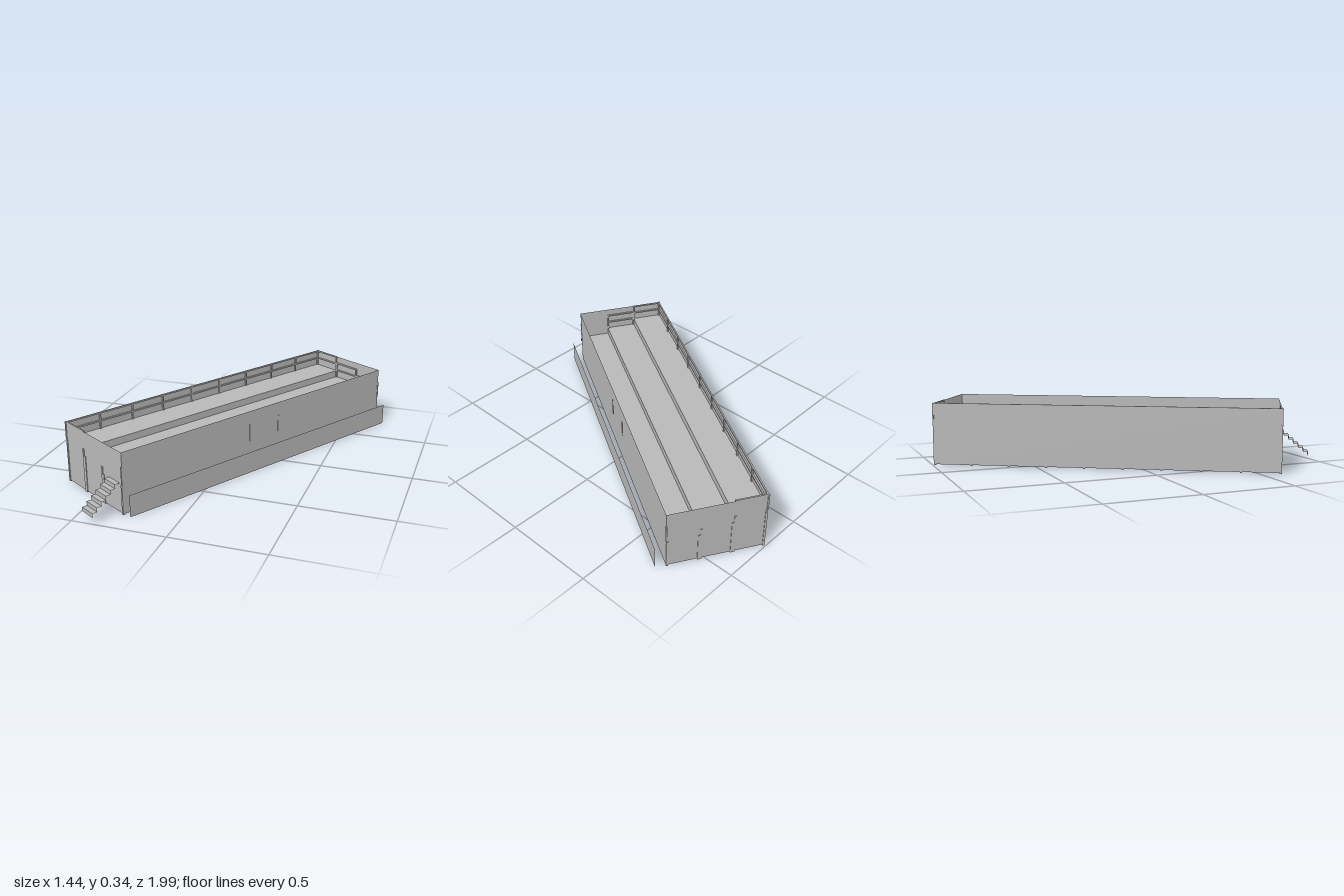
import * as THREE from 'three';

export function createModel() {
  const model = new THREE.Group();
  model.name = 'steppedPlatform';
  const grey = new THREE.MeshStandardMaterial({ color: 0xb8b8b8, side: THREE.DoubleSide });
  grey.name = 'plain grey';

  // Everything is built square, then the whole deck is turned in plan
  const deck = new THREE.Group();
  deck.name = 'deck';
  deck.position.set(-0.025, 0, -0.0625);
  deck.rotation.y = -0.537;
  model.add(deck);

  const W = 0.2545, L = 0.9285, TOP = 0.336;
  const strip = (2 * W) / 3, bays = 9, post = 0.011;

  // Box given by its min and max corners
  function block(name, x0, x1, y0, y1, z0, z1) {
    const mesh = new THREE.Mesh(new THREE.BoxGeometry(x1 - x0, y1 - y0, z1 - z0), grey);
    mesh.position.set((x0 + x1) / 2, (y0 + y1) / 2, (z0 + z1) / 2);
    mesh.name = name;
    deck.add(mesh);
  }

  // Flat upright sheet centred on x, z
  function sheet(name, width, y0, y1, x, z, turn) {
    const mesh = new THREE.Mesh(new THREE.PlaneGeometry(width, y1 - y0), grey);
    mesh.position.set(x, (y0 + y1) / 2, z);
    mesh.rotation.y = turn;
    mesh.name = name;
    deck.add(mesh);
  }

  // Enclosing walls and the skirt standing off one long side
  for (const s of [-1, 1]) {
    sheet('sideWall', 2 * L, 0.005, TOP, s * W, 0, (s * Math.PI) / 2);
    sheet('endWall', 2 * W, 0.005, TOP, 0, s * L, s > 0 ? 0 : Math.PI);
  }
  sheet('skirtPanel', 2 * L, 0.01, 0.128, W + 0.055, 0, Math.PI / 2);

  // Three floor levels, each on its own two rows of legs
  const levels = [0.245, 0.205, 0.165];
  levels.forEach((y, i) => {
    const x0 = -W + i * strip, x1 = x0 + strip;
    block('floor', x0, x1, y - 0.008, y, -L, L);
    if (i < 2) sheet('floorRiser', 2 * L, levels[i + 1], y, x1, 0, Math.PI / 2);
    for (let k = 0; k <= bays; k++) {
      const z = -L + (2 * L * k) / bays;
      const end = k === 0 ? -1 : k === bays ? 1 : 0;
      const zc = z - end * 0.002;
      for (const x of [x0, x1 - post])
        block('leg', x, x + post, 0, y - 0.004, zc - post / 2, zc + post / 2);
    }

    // Guard rails across both ends, open where the stairs arrive
    for (const s of [-1, 1]) {
      if (s > 0 && i === 2) continue;
      const z = s * (L - 0.005);
      for (const h of [0.045, 0.09])
        block('endRail', x0, x1, y + h - 0.004, y + h + 0.004, z - 0.004, z + 0.004);
      for (const x of [x0 + 0.004, x1 - 0.004])
        block('endRailPost', x - 0.004, x + 0.004, y, y + 0.094, z - 0.004, z + 0.004);
    }
  });

  // Guard rails along both long sides, standing on the nearest floor
  for (const s of [-1, 1]) {
    const y = s < 0 ? levels[0] : levels[2];
    const x = s * (W - 0.005);
    for (const h of [0.045, 0.09])
      block('sideRail', x - 0.004, x + 0.004, y + h - 0.004, y + h + 0.004, -L, L);
    for (let k = 0; k <= bays; k++) {
      const z = -L + (2 * L * k) / bays;
      const out = k === 4 || k === 5 || k === 0 || k === bays ? s * 0.003 : 0;
      block('sideRailPost', x - 0.004 + out, x + 0.004 + out, y, y + 0.094, z - 0.004, z + 0.004);
    }
  }

  // Folded-sheet stairs up to the lowest floor
  const stairs = new THREE.Group();
  stairs.name = 'stairs';
  stairs.position.set(0.183, 0, 0);
  deck.add(stairs);
  const steps = 6, rise = 0.0225, run = 0.027, width = 0.094;
  for (let i = 0; i < steps; i++) {
    const z = L + (steps - i) * run, y = 0.03 + i * rise;
    const riser = new THREE.Mesh(new THREE.PlaneGeometry(width, rise), grey);
    riser.name = 'stairRiser';
    riser.position.set(0, y + rise / 2, z);
    const tread = new THREE.Mesh(new THREE.PlaneGeometry(width, run), grey);
    tread.name = 'stairTread';
    tread.rotation.x = -Math.PI / 2;
    tread.position.set(0, y + rise, z - run / 2);
    stairs.add(riser, tread);
  }
  return model;
}
